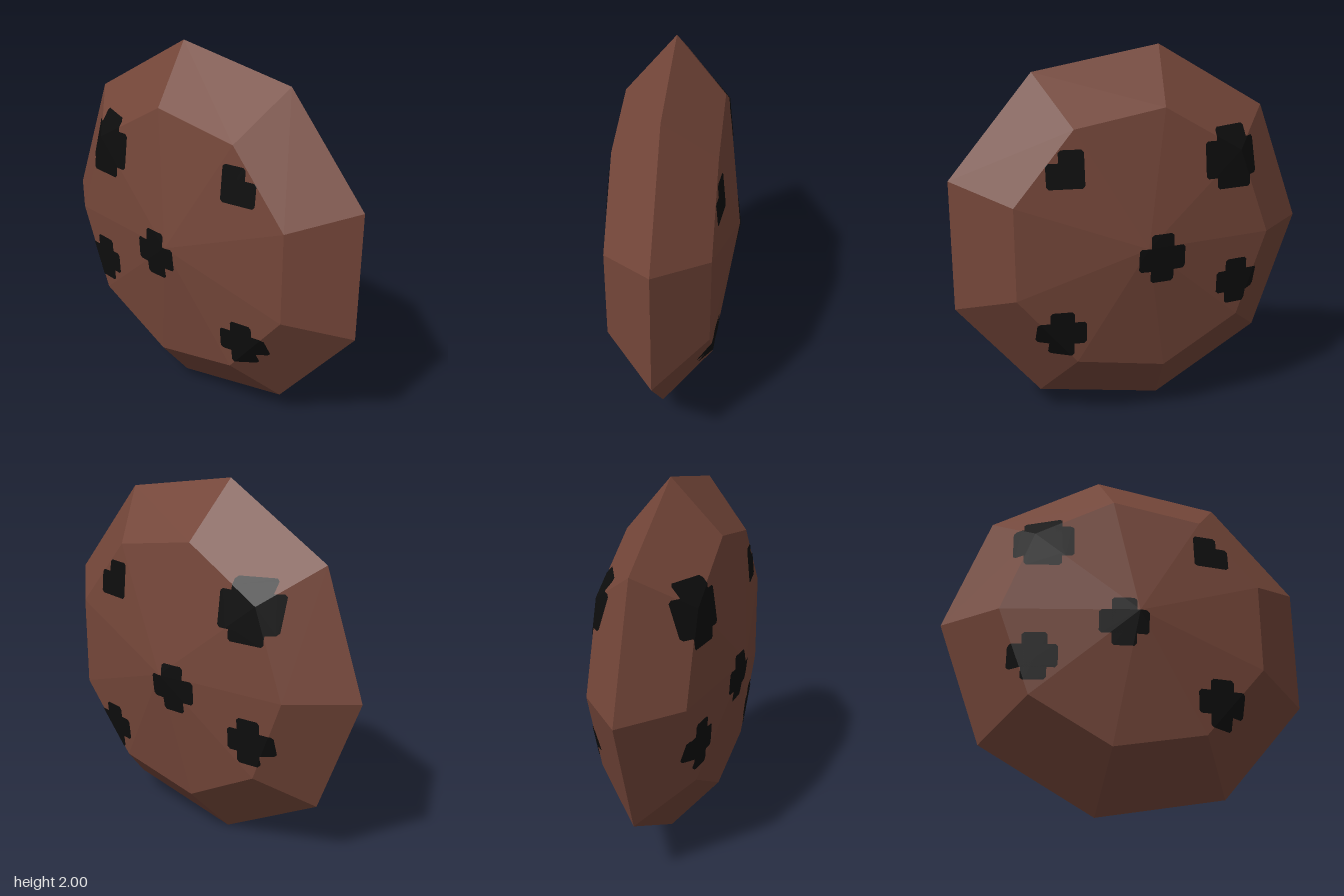
import * as THREE from 'three';

const R = 1.0154, HALF = 0.365, CY = 1.0, CZ = 0.031, SIDES = 9;
const S = Math.SQRT1_2;

const dough = new THREE.MeshStandardMaterial({ color: 0x744639, flatShading: true });
dough.name = 'brown dough';
const chocolate = new THREE.MeshStandardMaterial({ color: 0x0d0d0d, flatShading: true, side: THREE.DoubleSide });
chocolate.name = 'dark chocolate';

// Chips as overlapping blocks: [zMin, zMax, yMin, yMax]
const CHIPS = {
  upperFrontChip: [[0.345, 0.54, 1.33, 1.46], [0.345, 0.475, 1.33, 1.525]],
  upperBackChip: [[-0.63, -0.31, 1.325, 1.52], [-0.575, -0.375, 1.265, 1.585]],
  middleChip: [[-0.18, 0.08, 0.87, 1.0], [-0.115, 0.015, 0.805, 1.07]],
  lowerBackChip: [[-0.635, -0.38, 0.68, 0.805], [-0.565, -0.435, 0.615, 0.87]],
  lowerFrontChip: [[0.345, 0.6, 0.49, 0.615], [0.41, 0.535, 0.42, 0.675]],
};

// Facets of one face of the disc, counter-clockwise in (z, y), with height x
function makeFacets() {
  const point = (i, r, x) => {
    const a = Math.PI + (i * 2 * Math.PI) / SIDES;
    return { z: CZ + r * Math.cos(a), y: CY + r * Math.sin(a), x };
  };
  const facets = [];
  for (let i = 0; i < SIDES; i++) {
    const a = point(i, R * S, HALF * S), b = point(i + 1, R * S, HALF * S);
    facets.push([{ z: CZ, y: CY, x: HALF }, a, b]);
    facets.push([a, point(i, R, 0), point(i + 1, R, 0), b]);
  }
  return facets;
}

// Keep the part of a polygon that lies inside a convex facet
function clip(poly, facet) {
  facet.forEach((a, i) => {
    const b = facet[(i + 1) % facet.length];
    const dist = (p) => (b.z - a.z) * (p.y - a.y) - (b.y - a.y) * (p.z - a.z);
    const out = [];
    poly.forEach((p, k) => {
      const q = poly[(k + 1) % poly.length], dp = dist(p), dq = dist(q);
      if (dp >= 0) out.push(p);
      if (dp * dq < 0) {
        const t = dp / (dp - dq);
        out.push({ z: p.z + (q.z - p.z) * t, y: p.y + (q.y - p.y) * t });
      }
    });
    poly = out;
  });
  return poly;
}

// Height of a facet's plane at (z, y)
function heightOn([a, b, c], p) {
  const d = (b.z - a.z) * (c.y - a.y) - (b.y - a.y) * (c.z - a.z);
  const u = ((p.z - a.z) * (c.y - a.y) - (p.y - a.y) * (c.z - a.z)) / d;
  const v = ((b.z - a.z) * (p.y - a.y) - (b.y - a.y) * (p.z - a.z)) / d;
  return a.x + u * (b.x - a.x) + v * (c.x - a.x);
}

// Block with slightly cut corners
function block([z0, z1, y0, y1]) {
  const c = 0.013;
  return [[z0 + c, y0], [z1 - c, y0], [z1, y0 + c], [z1, y1 - c],
    [z1 - c, y1], [z0 + c, y1], [z0, y1 - c], [z0, y0 + c]].map(([z, y]) => ({ z, y }));
}

// Thin chip draped over the facets; side is +1 (left) or -1 (right)
function chipGeometry(blocks, facets, side) {
  const pos = [];
  for (const b of blocks) {
    for (const facet of facets) {
      const poly = clip(block(b), facet);
      for (let k = 1; k + 1 < poly.length; k++) {
        const tri = [poly[0], poly[k], poly[k + 1]];
        if (side > 0) tri.reverse();
        for (const p of tri) pos.push(side * (heightOn(facet, p) + 0.004), p.y, p.z);
      }
    }
  }
  const g = new THREE.BufferGeometry();
  g.setAttribute('position', new THREE.Float32BufferAttribute(pos, 3));
  g.computeVertexNormals();
  return g;
}

export function createModel() {
  const model = new THREE.Group();
  model.name = 'cookie';

  // Squashed nine-sided ball lying on its side
  const ball = new THREE.SphereGeometry(R, SIDES, 4, -Math.PI / 2);
  ball.rotateZ(-Math.PI / 2).scale(HALF / R, 1, 1).translate(0, CY, CZ);
  const flat = ball.toNonIndexed();
  flat.computeVertexNormals();
  const body = new THREE.Mesh(flat, dough);
  body.name = 'cookieBody';
  model.add(body);

  // The same chips on both faces
  const facets = makeFacets();
  for (const side of [1, -1]) {
    const chips = new THREE.Group();
    chips.name = side > 0 ? 'leftChips' : 'rightChips';
    for (const [name, blocks] of Object.entries(CHIPS)) {
      const chip = new THREE.Mesh(chipGeometry(blocks, facets, side), chocolate);
      chip.name = name;
      chips.add(chip);
    }
    model.add(chips);
  }
  return model;
}
